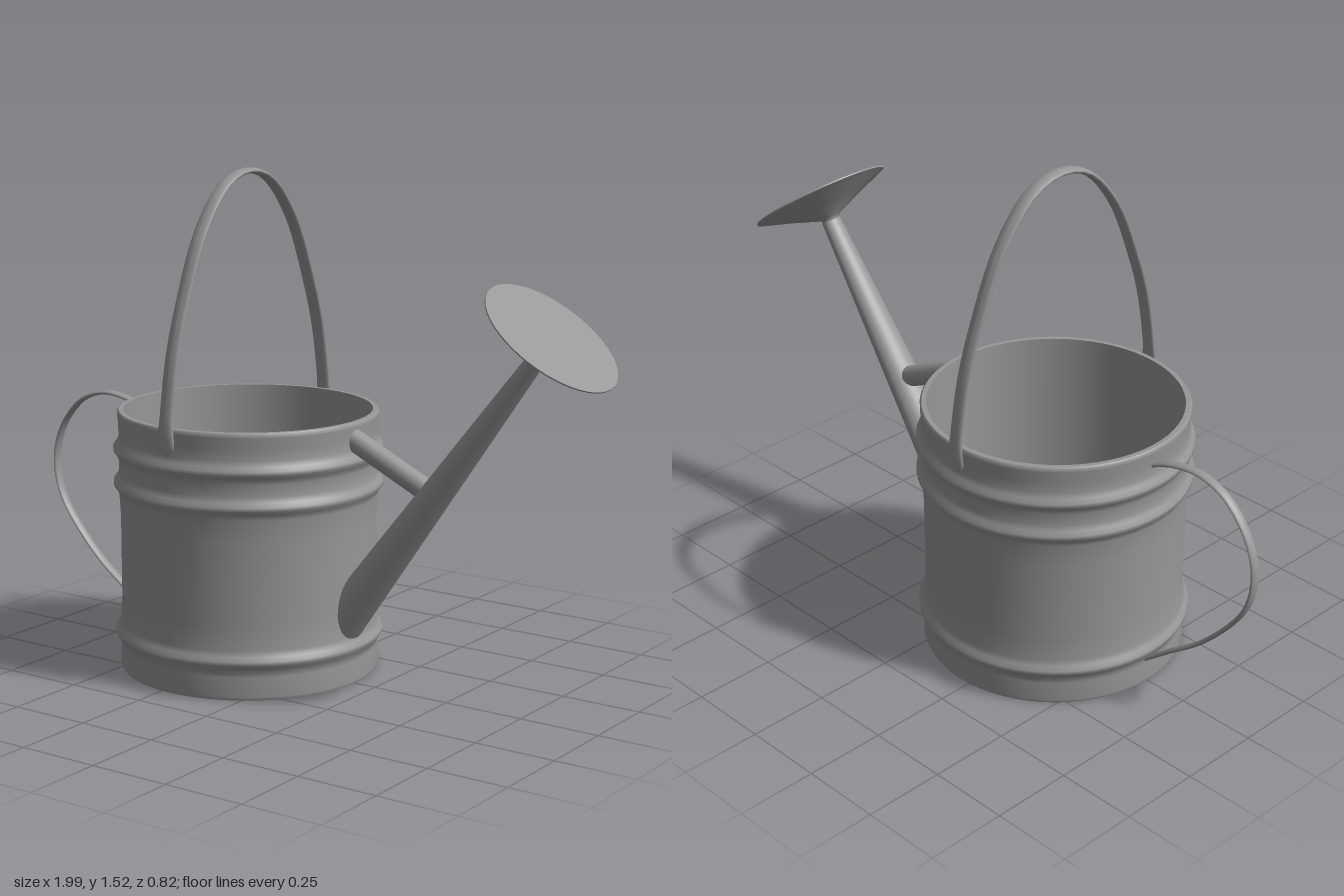
import * as THREE from 'three';

const CX = -0.22; // centre of the can body
const v2 = (p) => new THREE.Vector2(p[0], p[1]);
const v3 = (p) => new THREE.Vector3(p[0], p[1], p[2]);

// Surfaces of revolution; each profile is smooth, with sharp edges between profiles
function turned(name, profiles, segments, material) {
  const group = new THREE.Group();
  group.name = name;
  for (const [part, points] of Object.entries(profiles)) {
    const mesh = new THREE.Mesh(new THREE.LatheGeometry(points.map(v2), segments), material);
    mesh.name = part;
    group.add(mesh);
  }
  return group;
}

// Tapered pipe in the xy plane whose first end is cut off vertically at the can wall
function pipe(name, a, b, rStart, rEnd, zScale, material) {
  const dir = new THREE.Vector3(b[0] - a[0], b[1] - a[1], 0);
  const length = dir.length();
  dir.normalize();
  const geo = new THREE.CylinderGeometry(rEnd, rStart, length, 32, 1, true);
  geo.translate(0, length / 2, 0);
  geo.scale(1, 1, zScale);
  geo.rotateZ(Math.atan2(dir.y, dir.x) - Math.PI / 2);
  geo.translate(a[0], a[1], 0);
  const pos = geo.attributes.position;
  for (let i = 0; i < pos.count; i++) {
    if (geo.attributes.uv.getY(i) > 0.5) continue;
    const slide = (a[0] - pos.getX(i)) / dir.x;
    pos.setXY(i, a[0], pos.getY(i) + dir.y * slide);
  }
  const mesh = new THREE.Mesh(geo, material);
  mesh.name = name;
  return mesh;
}

// Flat oval strap swept along a curve; halfWidth depends on distance to the nearest end
function strap(name, points, side, halfWidth, halfThickness, material) {
  const curve = new THREE.CatmullRomCurve3(points.map(v3));
  const length = curve.getLength();
  const geo = new THREE.CylinderGeometry(1, 1, 1, 14, 72);
  const pos = geo.attributes.position;
  const p = new THREE.Vector3();
  for (let i = 0; i < pos.count; i++) {
    const s = THREE.MathUtils.clamp(pos.getY(i) + 0.5, 0, 1);
    const u = (1 - Math.cos(Math.PI * s)) / 2;
    const normal = side.clone().cross(curve.getTangentAt(u));
    p.copy(curve.getPointAt(u))
      .addScaledVector(side, pos.getX(i) * halfWidth(Math.min(u, 1 - u) * length))
      .addScaledVector(normal, pos.getZ(i) * halfThickness);
    pos.setXYZ(i, p.x, p.y, p.z);
  }
  geo.computeVertexNormals();
  const mesh = new THREE.Mesh(geo, material);
  mesh.name = name;
  return mesh;
}

export function createModel() {
  const model = new THREE.Group();
  model.name = 'wateringCan';
  const metal = new THREE.MeshStandardMaterial({ color: 0x979797 });
  metal.name = 'grey metal';

  // Can body with three raised hoops
  const wall = [[0.392, 0], [0.396, 0.01], [0.394, 0.07]];
  const hoop = (y) => [[0.394, y - 0.035], [0.4, y - 0.018], [0.41, y - 0.006],
    [0.41, y + 0.006], [0.4, y + 0.018], [0.394, y + 0.035]];
  wall.push(...hoop(0.115), [0.39, 0.22], [0.39, 0.47], ...hoop(0.577), ...hoop(0.683),
    [0.394, 0.75], [0.397, 0.785], [0.397, 0.795], [0.392, 0.8]);
  const body = turned('body', {
    outerWall: wall,
    underside: [[0, 0], [0.392, 0]],
    rim: [[0.392, 0.8], [0.378, 0.8]],
    innerWall: [[0.378, 0.8], [0.378, 0.05], [0.374, 0.028], [0.36, 0.018]],
    floor: [[0.36, 0.018], [0, 0.018]],
  }, 64, metal);
  body.position.x = CX;
  model.add(body);

  // Spout and the brace that ties it to the can
  model.add(pipe('spout', [0.161, 0.225], [0.772, 1.045], 0.063, 0.026, 1.22, metal));
  model.add(pipe('spoutBrace', [0.163, 0.748], [0.43, 0.622], 0.033, 0.033, 1, metal));

  // Flared sprinkler head
  const head = turned('sprinklerHead', {
    flare: [[0.026, -0.085], [0.032, -0.072], [0.12, -0.037], [0.217, -0.002]],
    edge: [[0.217, -0.002], [0.217, 0.002]],
    face: [[0.217, 0.002], [0, 0.002]],
  }, 48, metal);
  head.position.set(0.82, 1.112, 0);
  head.rotation.z = -Math.atan2(0.34, 0.26) + Math.PI / 2 - 0.918 + 0.264;
  head.rotation.z = Math.atan2(0.34, 0.26) - Math.PI / 2 - 0.0;
  model.add(head);

  // Carrying handle arching over the opening, with rounded tabs at its ends
  const half = [[0.402, 0.725], [0.402, 0.79], [0.391, 0.88], [0.366, 1.01], [0.322, 1.145],
    [0.224, 1.36], [0.105, 1.487]];
  const arch = [...half.map(([z, y]) => [CX, y, z]), [CX, 1.516, 0],
    ...half.slice().reverse().map(([z, y]) => [CX, y, -z])];
  const tab = (d) => {
    const w = 0.023 + 0.009 * (1 - THREE.MathUtils.smoothstep(d, 0.02, 0.11));
    return d < 0.03 ? w * Math.sqrt(Math.max(0.0001, 1 - (1 - d / 0.03) ** 2)) : w;
  };
  model.add(strap('carryingHandle', arch, new THREE.Vector3(1, 0, 0), tab, 0.009, metal));

  // Rear pouring handle
  const loop = [[-0.605, 0.742], [-0.68, 0.772], [-0.78, 0.785], [-0.87, 0.757], [-0.935, 0.697],
    [-0.978, 0.62], [-0.993, 0.54], [-0.978, 0.45], [-0.937, 0.375], [-0.82, 0.243],
    [-0.7, 0.15], [-0.605, 0.075]].map(([x, y]) => [x, y, 0]);
  model.add(strap('rearHandle', loop, new THREE.Vector3(0, 0, 1), () => 0.016, 0.007, metal));

  // Slight shift so the whole is centred
  model.position.x = 0.005;
  return model;
}
